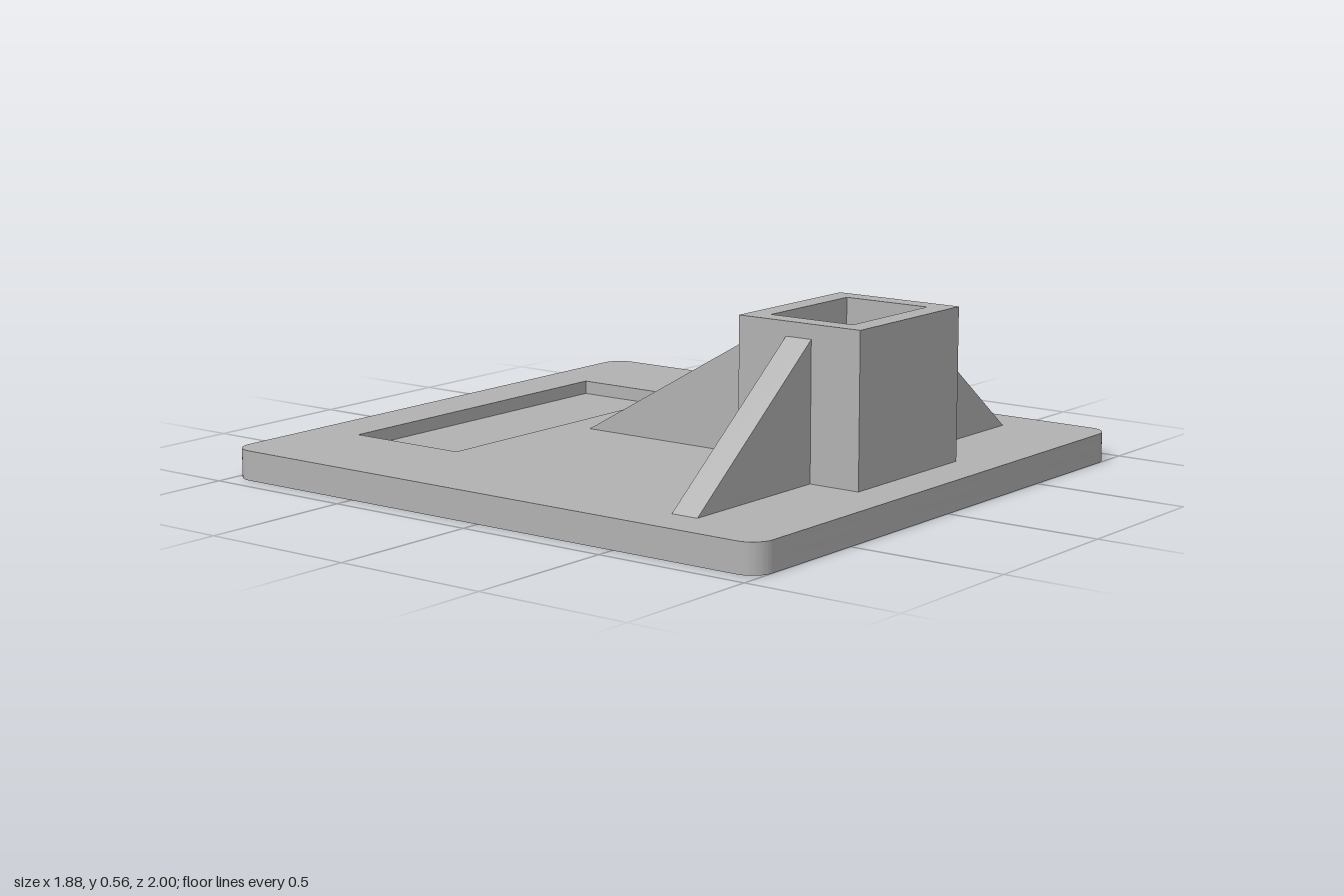
import * as THREE from 'three';
import { toCreasedNormals } from 'three/addons/utils/BufferGeometryUtils.js';

const BASE_TOP = 0.093;
const RECESS_FLOOR = 0.05;
const SOCKET_TOP = 0.565;
const RIB_TOP = 0.52;

const grey = new THREE.MeshStandardMaterial({ color: 0xb2b2b2 });
grey.name = 'plain grey';

// Rectangle in plan, z pointing down the page, with optional corner radius
function rect(PathType, x0, x1, z0, z1, r = 0) {
  const p = new PathType();
  if (r === 0) {
    p.setFromPoints([[x0, -z1], [x1, -z1], [x1, -z0], [x0, -z0]].map(([x, y]) => new THREE.Vector2(x, y)));
    p.closePath();
    return p;
  }
  p.absarc(x1 - r, -z0 - r, r, 0, Math.PI / 2);
  p.absarc(x0 + r, -z0 - r, r, Math.PI / 2, Math.PI);
  p.absarc(x0 + r, -z1 + r, r, Math.PI, Math.PI * 1.5);
  p.absarc(x1 - r, -z1 + r, r, Math.PI * 1.5, Math.PI * 2);
  p.closePath();
  return p;
}

// Extrude a plan shape upwards from y0 to y1
function slab(name, shape, y0, y1) {
  const geo = new THREE.ExtrudeGeometry(shape, { depth: y1 - y0, bevelEnabled: false, curveSegments: 10 });
  geo.rotateX(-Math.PI / 2);
  geo.translate(0, y0, 0);
  const mesh = new THREE.Mesh(toCreasedNormals(geo, 0.6), grey);
  mesh.name = name;
  return mesh;
}

// Triangular brace running along +x from the socket wall to its toe
function rib(name, length, thickness) {
  const shape = new THREE.Shape();
  shape.moveTo(0, BASE_TOP);
  shape.lineTo(length, BASE_TOP);
  shape.lineTo(0, RIB_TOP);
  shape.closePath();
  const geo = new THREE.ExtrudeGeometry(shape, { depth: thickness, bevelEnabled: false });
  geo.translate(0, 0, -thickness / 2);
  const mesh = new THREE.Mesh(geo, grey);
  mesh.name = name;
  return mesh;
}

export function createModel() {
  const model = new THREE.Group();
  model.name = 'socketStand';

  // Base plate with a shallow rectangular recess at the back
  const plate = () => rect(THREE.Shape, -0.94, 0.94, -1, 1, 0.07);
  const upper = plate();
  upper.holes.push(rect(THREE.Path, -0.56, 0.56, -0.83, -0.42));
  model.add(slab('baseLower', plate(), 0, RECESS_FLOOR));
  model.add(slab('baseUpper', upper, RECESS_FLOOR, BASE_TOP));

  // Square socket, open at the top
  const wall = rect(THREE.Shape, -0.26, 0.26, 0.43, 0.86);
  wall.holes.push(rect(THREE.Path, -0.195, 0.195, 0.5, 0.79));
  model.add(slab('socket', wall, BASE_TOP, SOCKET_TOP));

  // Side braces, mirrored by a half turn
  for (const side of [1, -1]) {
    const brace = rib(side > 0 ? 'leftRib' : 'rightRib', 0.54, 0.09);
    brace.position.set(side * 0.26, 0, 0.645);
    if (side < 0) brace.rotation.y = Math.PI;
    model.add(brace);
  }

  // Long brace towards the back
  const back = rib('backRib', 0.745, 0.09);
  back.position.set(0, 0, 0.43);
  back.rotation.y = Math.PI / 2;
  model.add(back);

  return model;
}
